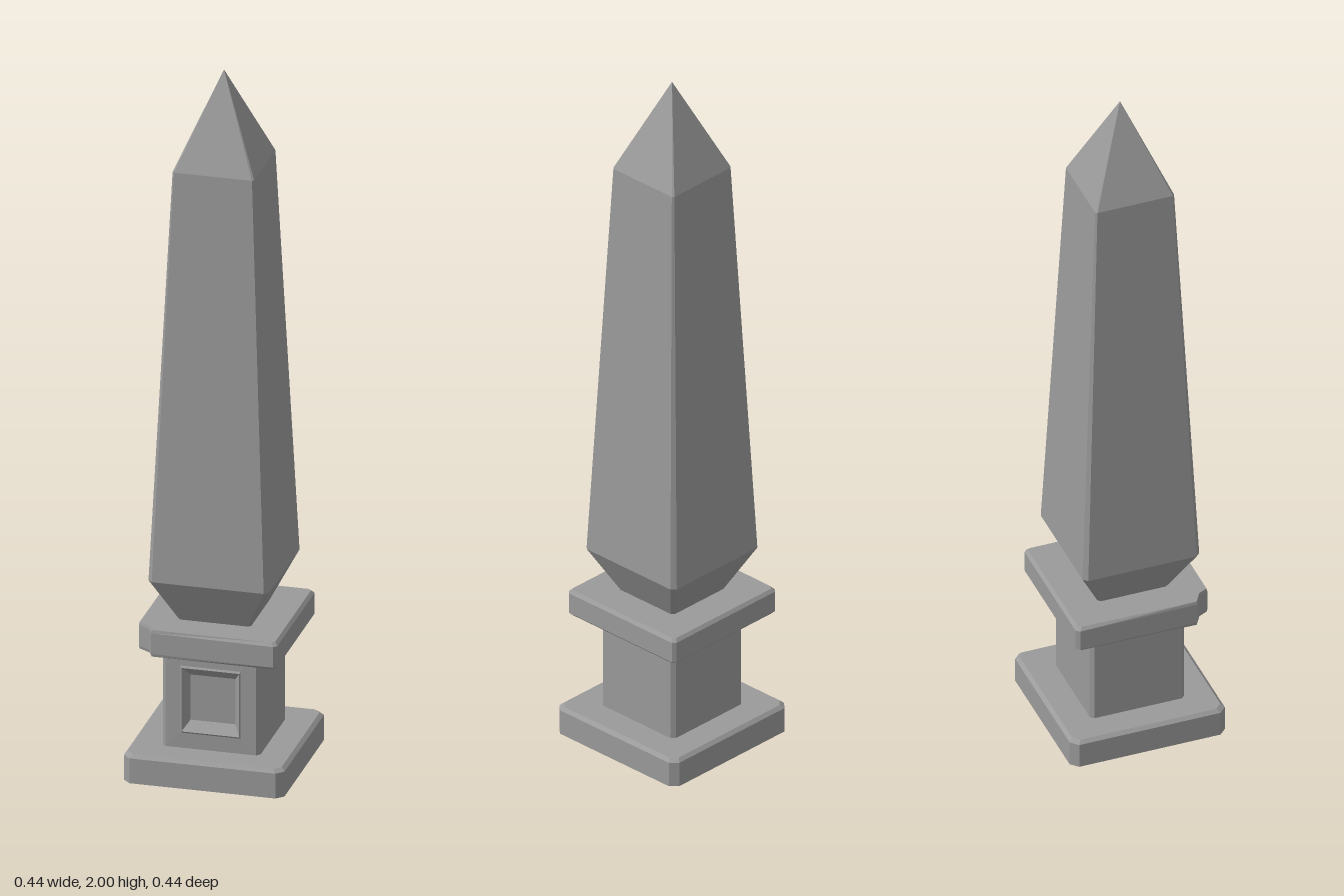
import * as THREE from 'three';

const material = new THREE.MeshStandardMaterial({ color: 0x9a9a9a, flatShading: true, side: THREE.DoubleSide });

// Skin between successive closed rings of [x, y, z] points
function loft(name, rings, skip = () => false) {
  const n = rings[0].length, pos = [];
  for (let r = 0; r < rings.length - 1; r++) {
    for (let i = 0; i < n; i++) {
      if (skip(i)) continue;
      const j = (i + 1) % n;
      const a = rings[r][i], b = rings[r][j], c = rings[r + 1][j], d = rings[r + 1][i];
      pos.push(...a, ...b, ...c, ...a, ...c, ...d);
    }
  }
  const geo = new THREE.BufferGeometry();
  geo.setAttribute('position', new THREE.Float32BufferAttribute(pos, 3));
  geo.computeVertexNormals();
  const mesh = new THREE.Mesh(geo, material);
  mesh.name = name;
  return mesh;
}

// Horizontal square with chamfered corners (extra point on the front-left one)
function square(y, h, c) {
  const k = h - c, m = h - c / 2;
  return [[k, h], [h, k], [h, -k], [k, -h], [-k, -h], [-h, -k], [-h, k], [-m, m], [-k, h]]
    .map(([x, z]) => [x, y, z]);
}

// Slightly uneven slab outline; the bevel inset fades out at the chipped corner
function chipped(y, inset) {
  return [[0.19, 0.199], [0.199, 0.19], [0.199, -0.192], [0.19, -0.2], [-0.189, -0.2],
    [-0.198, -0.19], [-0.196, 0.146], [-0.163, 0.166], [-0.15, 0.192]]
    .map(([x, z], i) => {
      const s = 1 - inset * (i < 6 ? 1 : 0.25);
      return [x * s, y, z * s];
    });
}

// Upright rectangle for the front panel
function rect(w, y0, y1, z) {
  return [[-w, y0, z], [w, y0, z], [w, y1, z], [-w, y1, z]];
}

export function createModel() {
  const group = new THREE.Group();
  group.name = 'obelisk';

  // Plinth, open underneath
  group.add(loft('plinth', [
    square(0, 0.222, 0.02), square(0.072, 0.222, 0.02),
    square(0.081, 0.212, 0.018), square(0.081, 0.135, 0.01),
  ]));

  // Pedestal walls, leaving out the front for the panel
  group.add(loft('pedestal', [square(0.081, 0.135, 0.01), square(0.365, 0.135, 0.01)], (i) => i === 8));

  // Front wall with a slight lip and a sunken panel
  group.add(loft('frontPanel', [
    rect(0.125, 0.081, 0.365, 0.135), rect(0.083, 0.125, 0.319, 0.136),
    rect(0.08, 0.13, 0.314, 0.14), rect(0.062, 0.155, 0.286, 0.112),
    rect(0, 0.22, 0.22, 0.112),
  ]));

  // Chipped capping slab
  group.add(loft('capSlab', [
    square(0.36, 0.13, 0.01), chipped(0.36, 0.04), chipped(0.368, 0),
    chipped(0.428, 0), chipped(0.437, 0.04), square(0.437, 0.09, 0.008),
  ]));

  // Tapering shaft with pointed tip
  group.add(loft('shaft', [
    square(0.435, 0.1, 0.008), square(0.565, 0.167, 0.012),
    square(1.735, 0.113, 0.005), square(2, 0, 0),
  ]));
  return group;
}
